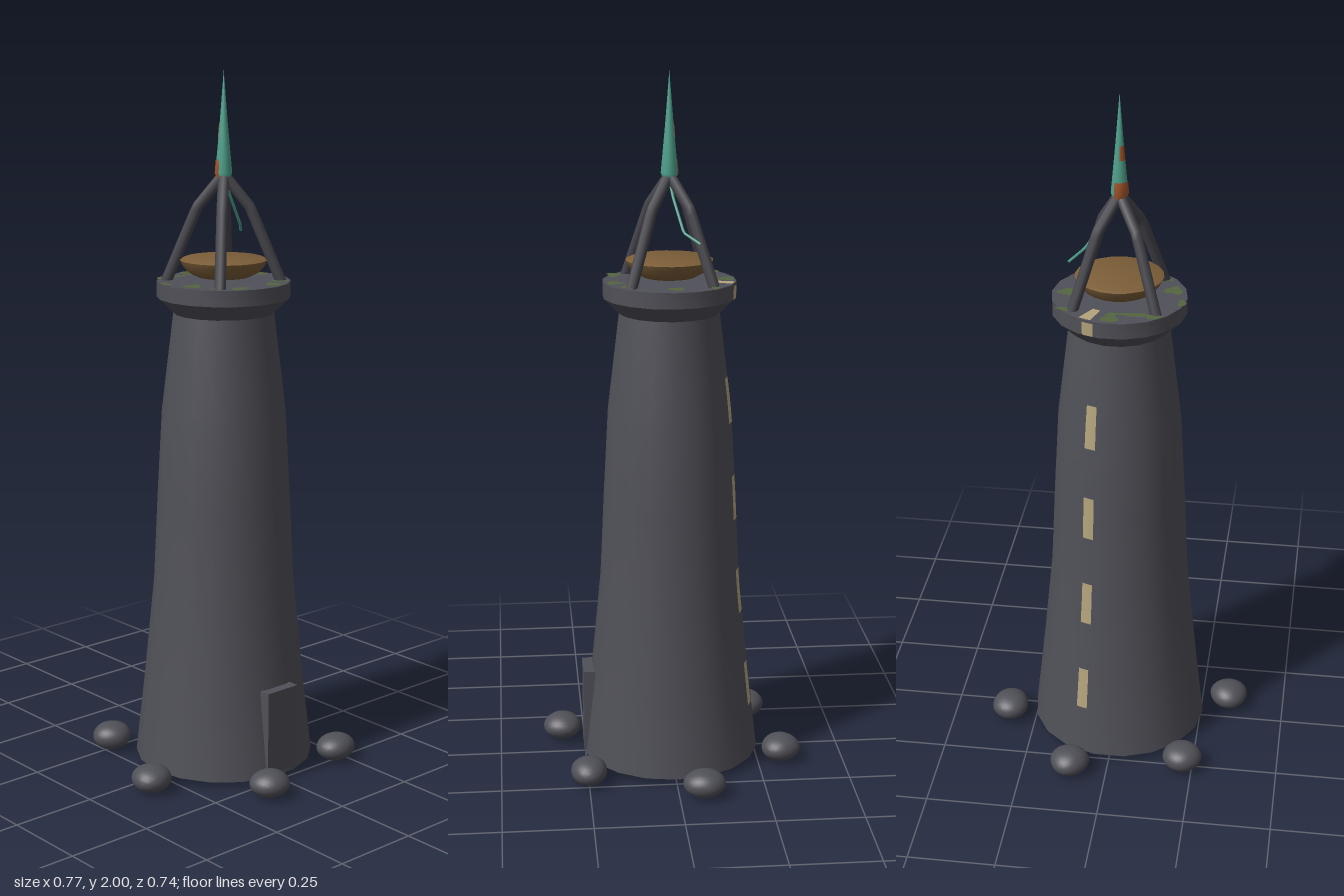
import * as THREE from 'three';
import { mergeVertices, toCreasedNormals } from 'three/addons/utils/BufferGeometryUtils.js';

const mat = (name, color, side = THREE.FrontSide) => {
  const m = new THREE.MeshStandardMaterial({ color, side });
  m.name = name;
  return m;
};

export function createModel() {
  const group = new THREE.Group();
  const stone = mat('stone', 0x505058);
  const iron = mat('iron', 0x45454c);
  const bronze = mat('bronze', 0x7c5e38);
  const teal = mat('verdigris', 0x4fa28d);
  const rust = mat('rust', 0xa4552b, THREE.DoubleSide);
  const moss = mat('moss', 0x55663f, THREE.DoubleSide);
  const cream = mat('cream paint', 0xb4a47c, THREE.DoubleSide);

  const add = (name, geometry, material, x = 0, y = 0, z = 0) => {
    const mesh = new THREE.Mesh(geometry, material);
    mesh.name = name;
    mesh.position.set(x, y, z);
    group.add(mesh);
    return mesh;
  };
  const v2 = (pts) => pts.map(([x, y]) => new THREE.Vector2(x, y));
  const rad = THREE.MathUtils.degToRad;

  // Tapered tower with a flared collar and flat top
  const profile = [[0, 0.02], [0.258, 0.02], [0.23, 0.27], [0.202, 0.55], [0.19, 0.8], [0.176, 1.05],
    [0.142, 1.33], [0.188, 1.375], [0.188, 1.42], [0, 1.42]];
  add('tower', toCreasedNormals(new THREE.LatheGeometry(v2(profile), 18), 0.6), stone).rotation.y = rad(10);

  // Door slab
  add('door', new THREE.BoxGeometry(0.112, 0.245, 0.034), stone, 0, 0.153, 0.238);

  // Painted dashes running up the back
  const radiusAt = (y) => {
    const i = profile.findIndex((p, k) => k > 1 && p[1] >= y);
    const [a, b] = [profile[i - 1], profile[i]];
    return a[0] + (b[0] - a[0]) * (y - a[1]) / (b[1] - a[1]);
  };
  const strip = (name, pts, width, angle, material) => {
    const len = width / pts[0][0];
    add(name, new THREE.LatheGeometry(v2(pts), 3, rad(angle) - len / 2, len), material);
  };
  for (const y of [0.236, 0.52, 0.80, 1.085]) {
    const pts = [-0.065, 0, 0.065].map((d) => [radiusAt(y + d) + 0.002, y + d]);
    strip('paintDash', pts, 0.033, 160, cream);
  }
  strip('collarDash', [[0.188, 1.376], [0.1895, 1.415]], 0.033, 160, cream);
  strip('topStripe', [[0.187, 1.424], [0.122, 1.424]], 0.036, 157, cream);

  // Ragged moss patches on the tower top: [x, z, half width, half depth]
  const patches = [[0.006, -0.155, 0.022, 0.03], [-0.05, -0.128, 0.045, 0.011], [-0.108, -0.135, 0.024, 0.014],
    [-0.176, -0.04, 0.011, 0.022], [-0.146, 0.038, 0.026, 0.025], [-0.075, 0.152, 0.03, 0.018],
    [0.045, 0.156, 0.022, 0.023], [0.1, 0.122, 0.03, 0.018], [0.147, -0.008, 0.022, 0.022],
    [0.128, -0.115, 0.03, 0.012], [-0.115, 0.105, 0.02, 0.012]];
  patches.forEach(([x, z, w, d], k) => {
    const pts = [];
    for (let i = 0; i < 14; i++) {
      const a = i / 14 * Math.PI * 2;
      const r = 1 + 0.22 * Math.sin(3 * a + k * 1.7) + 0.12 * Math.sin(5 * a + k);
      pts.push(new THREE.Vector2(Math.cos(a) * r * w, Math.sin(a) * r * d));
    }
    const geometry = new THREE.ShapeGeometry(new THREE.Shape(pts)).rotateX(-Math.PI / 2);
    add('mossPatch', geometry, moss, x, 1.423, z);
  });

  // Fire bowl
  const bowl = [[0, 1.429], [0.075, 1.432], [0.1, 1.445], [0.117, 1.465], [0.123, 1.479], [0.112, 1.484], [0, 1.484]];
  add('bowl', toCreasedNormals(new THREE.LatheGeometry(v2(bowl), 20), 0.6), bronze);

  // Four bent legs meeting under the spire
  for (const sx of [1, -1]) for (const sz of [1, -1]) {
    const path = new THREE.CurvePath();
    const p = [[0.116, 1.41], [0.052, 1.625], [0.002, 1.712]].map(([d, y]) => new THREE.Vector3(sx * d, y, sz * d));
    path.add(new THREE.LineCurve3(p[0], p[1]));
    path.add(new THREE.LineCurve3(p[1], p[2]));
    add('leg', new THREE.TubeGeometry(path, 16, 0.0155, 8), iron);
  }

  // Spire with rusted flecks on its back
  add('spire', new THREE.LatheGeometry(v2([[0, 1.69], [0.014, 1.695], [0.024, 1.72], [0.012, 1.85], [0, 2]]), 12), teal);
  const fleck = (pts, from, to) => add('rustFleck', new THREE.LatheGeometry(v2(pts), 6, rad(from), rad(to - from)), rust);
  fleck([[0.0155, 1.695], [0.0255, 1.72], [0.0225, 1.755]], 150, 285);
  fleck([[0.0165, 1.815], [0.013, 1.855]], 185, 255);

  // Loose wire hanging from the top
  const wire = new THREE.CurvePath();
  const w = [[0.01, 1.69, -0.002], [0.03, 1.655, -0.008], [0.09, 1.567, -0.032], [0.13, 1.542, -0.074]]
    .map((c) => new THREE.Vector3(...c));
  for (let i = 0; i < 3; i++) wire.add(new THREE.LineCurve3(w[i], w[i + 1]));
  add('wire', new THREE.TubeGeometry(wire, 18, 0.004, 6), teal);

  // Ring of boulders around the foot
  const spots = [[0.105, -0.32], [-0.222, -0.253], [0.33, -0.07], [-0.33, 0.066], [0.222, 0.25], [-0.105, 0.317]];
  spots.forEach(([x, z], k) => {
    let geometry = new THREE.IcosahedronGeometry(1, 4);
    geometry.deleteAttribute('normal');
    geometry.deleteAttribute('uv');
    geometry = mergeVertices(geometry);
    const pos = geometry.attributes.position;
    for (let i = 0; i < pos.count; i++) {
      const [px, py, pz] = [pos.getX(i), pos.getY(i), pos.getZ(i)];
      const s = 1 + 0.05 * Math.sin(2.3 * px + k) + 0.05 * Math.sin(2.7 * pz + 2 * k);
      pos.setXYZ(i, px * s * 0.057, py * 0.039, pz * s * 0.056);
    }
    geometry.computeVertexNormals();
    add('boulder', geometry, stone, x, 0.041, z);
  });

  return group;
}
